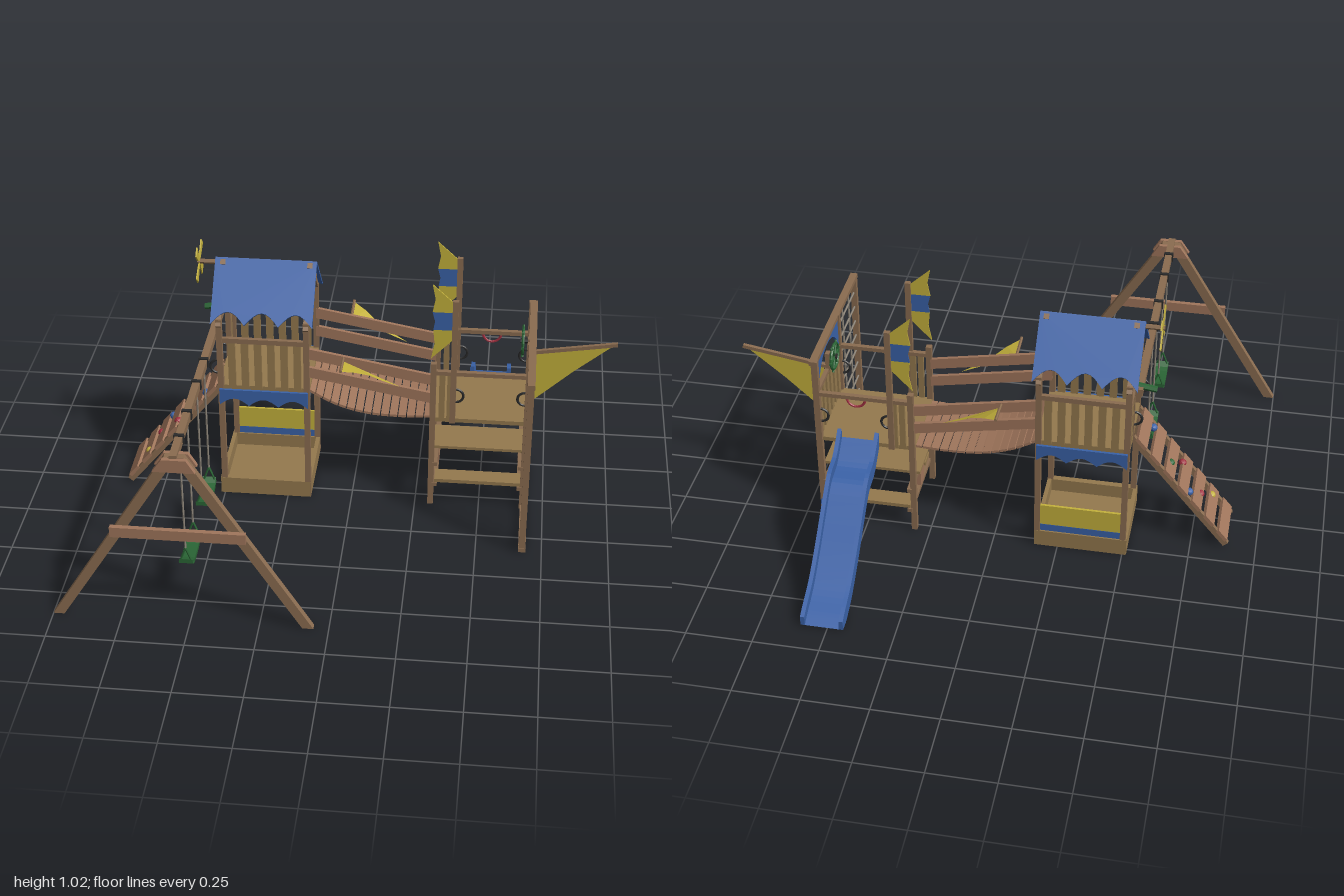
import * as THREE from 'three';

const C = { wood: 0x8a6c50, deck: 0x94794e, plank: 0xa0765c, blue: 0x3a62a8, yellow: 0xc4b13c,
  green: 0x2a6535, dark: 0x2a2a2a, red: 0xa03040, rope: 0x8c8478 };
const mats = {};
const mat = (c) => (mats[c] ??= new THREE.MeshStandardMaterial({ color: C[c], flatShading: true, side: THREE.DoubleSide }));
const V = (x, y, z) => new THREE.Vector3(x, y, z);

export function createModel() {
  const root = new THREE.Group();
  const add = (name, geo, c, x = 0, y = 0, z = 0) => {
    const m = new THREE.Mesh(geo, mat(c));
    m.name = name;
    m.position.set(x, y, z);
    root.add(m);
    return m;
  };
  // box given by its limits on each axis
  const box = (name, x0, x1, y0, y1, z0, z1, c = 'wood') =>
    add(name, new THREE.BoxGeometry(x1 - x0, y1 - y0, z1 - z0), c, (x0 + x1) / 2, (y0 + y1) / 2, (z0 + z1) / 2);
  const along = (m, a, b) => {
    m.position.copy(a).lerp(b, 0.5);
    m.quaternion.setFromUnitVectors(V(0, 1, 0), b.clone().sub(a).normalize());
    return m;
  };
  const beam = (name, a, b, w, d, c = 'wood') => along(add(name, new THREE.BoxGeometry(w, a.distanceTo(b), d), c), a, b);
  const rod = (name, a, b, r, c = 'rope') => along(add(name, new THREE.CylinderGeometry(r, r, a.distanceTo(b), 6), c), a, b);
  // flat panel cut from a shape, centred on its own thickness
  const panel = (name, shape, t, c, x = 0, y = 0, z = 0) =>
    add(name, new THREE.ExtrudeGeometry(shape, { depth: t, bevelEnabled: false, curveSegments: 12 }).translate(0, 0, -t / 2), c, x, y, z);
  const poly = (...p) => new THREE.Shape(p.map(([x, y]) => new THREE.Vector2(x, y)));
  // board hanging from y = 0 with arches cut in its lower edge
  const scallop = (w, h, n, depth) => {
    const p = [[-w / 2, 0]];
    for (let i = 0; i <= n * 8; i++) p.push([-w / 2 + w * i / (n * 8), -h + depth * Math.abs(Math.sin(i * Math.PI / 8))]);
    p.push([w / 2, 0]);
    return poly(...p);
  };
  const FZ = 0.05, BZ = -0.27, CZ = -0.11;

  // ---- roofed tower ----
  for (const z of [FZ, BZ]) {
    for (const x of [-0.5, -0.17]) box('towerPost', x - 0.011, x + 0.011, 0, 0.785, z - 0.011, z + 0.011);
    box('towerRail', -0.5, -0.17, 0.685, 0.705, z - 0.008, z + 0.008);
    for (let i = 0; i < 6; i++) {
      const x = -0.455 + i * 0.05;
      box('towerSlat', x - 0.014, x + 0.014, 0.49, 0.7, z - 0.006, z + 0.006, 'deck');
    }
    panel('towerValance', scallop(0.34, 0.068, 3, 0.03), 0.01, 'blue', -0.335, 0.485, z + (z > 0 ? 0.016 : -0.016));
    box('sandboxSide', -0.515, -0.16, 0, 0.07, z - 0.012, z + 0.012, 'deck');
  }
  for (const x of [-0.508, -0.167]) box('sandboxEnd', x - 0.008, x + 0.008, 0, 0.07, BZ, FZ, 'deck');
  box('sandboxFloor', -0.51, -0.165, 0.002, 0.015, BZ, FZ, 'deck');
  box('towerDeck', -0.51, -0.16, 0.475, 0.495, BZ, FZ, 'deck');
  box('sandboxBackPanel', -0.49, -0.18, 0.1, 0.19, BZ - 0.005, BZ + 0.005, 'yellow');
  box('sandboxBackStripe', -0.49, -0.18, 0.07, 0.1, BZ - 0.006, BZ + 0.006, 'blue');
  for (const z of [BZ, -0.17, 0.04]) box('entryPost', -0.512, -0.492, 0.48, 0.7, z - 0.01, z + 0.01);
  for (const z of [-0.235, -0.2]) box('entrySlat', -0.51, -0.5, 0.49, 0.7, z - 0.012, z + 0.012, 'deck');
  box('entryRail', -0.512, -0.492, 0.685, 0.705, BZ, -0.16);

  // roof, rafters and collars
  for (const s of [1, -1]) {
    const m = panel('roofSlope', scallop(0.385, 0.258, 3, 0.05), 0.008, 'blue', -0.3375, 0.957, CZ);
    m.rotation.x = -0.757 * s;
    for (const x of [-0.5, -0.17]) beam('rafter', V(x, 0.95, CZ - 0.015 * s), V(x, 0.757, CZ + 0.175 * s), 0.02, 0.02);
  }
  for (const x of [-0.5, -0.17]) box('roofCollar', x - 0.014, x + 0.014, 0.855, 0.876, -0.19, -0.03);

  // windmill
  rod('windmillAxle', V(-0.6, 0.94, CZ), V(-0.5, 0.94, CZ), 0.009, 'wood');
  const blade = poly([0, 0], [0.035, 0.018], [0.08, 0.026], [0.085, -0.012], [0.035, -0.008]);
  for (let i = 0; i < 4; i++) {
    const b = panel('windmillBlade', blade, 0.005, 'yellow', -0.592, 0.94, CZ);
    b.rotation.set(0, Math.PI / 2, 0.6 + i * Math.PI / 2);
    b.rotation.order = 'YXZ';
  }

  // sloping climbing ladder with holds
  const lo = V(-0.885, 0.015, 0), hi = V(-0.505, 0.475, 0);
  for (const z of [-0.16, 0.025]) beam('ladderRail', lo.clone().setZ(z), hi.clone().setZ(z), 0.025, 0.018);
  for (let i = 0; i < 7; i++) {
    const p = lo.clone().lerp(hi, (i + 0.5) / 7).add(V(-0.01, 0.008, 0));
    const m = add('ladderPlank', new THREE.BoxGeometry(0.014, 0.055, 0.205), 'plank', p.x, p.y, -0.068);
    m.rotation.z = -Math.atan2(0.38, 0.46);
  }
  for (const [x, z, c] of [[-0.73, -0.13, 'blue'], [-0.77, -0.075, 'red'], [-0.81, -0.015, 'yellow'],
    [-0.65, -0.09, 'green'], [-0.69, -0.02, 'red'], [-0.57, -0.01, 'blue']])
    add('climbingHold', new THREE.IcosahedronGeometry(0.016, 1), c, x, 0.015 + (x + 0.885) * 1.21 + 0.02, z);
  rod('telescope', V(-0.59, 0.71, -0.17), V(-0.49, 0.725, -0.17), 0.012, 'green');

  // grab handles
  const handle = (name, c, x, y, z, rx, ry, rz, r = 0.028) => {
    const m = add(name, new THREE.TorusGeometry(r, 0.005, 6, 12, Math.PI), c, x, y, z);
    m.rotation.set(rx, ry, rz);
  };
  for (const z of [-0.17, 0.04]) handle('entryHandle', 'dark', -0.512, 0.57, z, 0, 0, Math.PI / 2);

  // ---- swing frame ----
  box('swingBeam', -0.54, -0.513, 0.693, 0.722, -0.2, 0.875);
  panel('swingLegRight', poly([-1, 0], [-0.96, 0], [-0.515, 0.71], [-0.56, 0.71]), 0.026, 'wood', 0, 0, 0.855);
  panel('swingLegLeft', poly([-0.095, 0], [-0.055, 0], [-0.49, 0.71], [-0.535, 0.71]), 0.026, 'wood', 0, 0, 0.854);
  box('swingCrossbar', -0.765, -0.285, 0.372, 0.413, 0.869, 0.887, 'plank');
  for (const z of [0.834, 0.878]) panel('swingTopPlate', poly([-0.6, 0.66], [-0.45, 0.66], [-0.48, 0.71], [-0.565, 0.71]), 0.017, 'plank', 0, 0, z);

  // swings
  for (const zc of [0.672, 0.318]) {
    const top = [], under = [];
    for (let i = 0; i <= 8; i++) {
      const u = i / 4 - 1, y = 0.158 + 0.022 * u ** 4;
      top.push([u * 0.084, y + 0.012]);
      under.unshift([u * 0.084, y - 0.005]);
    }
    panel('swingSeat', poly(...top, ...under), 0.05, 'green', -0.527, 0, zc).rotation.y = -Math.PI / 2;
    for (const s of [1, -1]) {
      const z = zc + s * 0.078;
      box('swingClamp', -0.545, -0.509, 0.69, 0.727, z - 0.007, z + 0.007, 'dark');
      add('swingRing', new THREE.TorusGeometry(0.015, 0.004, 6, 12), 'dark', -0.527, 0.675, z).rotation.y = Math.PI / 2;
      rod('swingRope', V(-0.527, 0.66, z), V(-0.527, 0.24, z), 0.004);
      for (const d of [-0.024, 0.024]) rod('seatRope', V(-0.527, 0.24, z), V(-0.527 + d, 0.175, z), 0.004, 'green');
    }
  }

  // ---- hanging bridge ----
  const sag = new THREE.CatmullRomCurve3([V(-0.17, 0.483, CZ), V(-0.06, 0.425, CZ), V(0.05, 0.394, CZ), V(0.17, 0.385, CZ), V(0.31, 0.39, CZ)]);
  for (let i = 0; i < 15; i++) {
    const u = (i + 0.5) / 15, p = sag.getPointAt(u), t = sag.getTangentAt(u);
    const m = add('bridgePlank', new THREE.BoxGeometry(0.029, 0.01, 0.29), 'plank', p.x, p.y, CZ);
    m.rotation.z = Math.atan2(t.y, t.x);
  }
  for (const z of [-0.21, -0.01]) add('bridgeStrap', new THREE.TubeGeometry(sag, 24, 0.004, 5), 'dark', 0, -0.006, z - CZ);
  for (const s of [1, -1]) {
    const z = CZ + s * 0.155;
    for (const y of [0.652, 0.572]) panel('bridgeSideBoard', poly([-0.17, y - 0.022], [0.305, y - 0.11], [0.305, y - 0.066], [-0.17, y + 0.022]), 0.014, 'plank', 0, 0, z);
    // slanting sail held out by a short stick
    const p = [[-0.03, 0.645, 0.265], [0.02, 0.625, 0.235], [0.07, 0.595, 0.2], [0.12, 0.565, 0.185], [0.19, 0.53, 0.167], [-0.03, 0.63, 0.165]];
    const g = new THREE.BufferGeometry();
    g.setAttribute('position', new THREE.Float32BufferAttribute(p.flatMap(([x, y, d]) => [x, y, CZ + s * d]), 3));
    g.setIndex([5, 0, 1, 5, 1, 2, 5, 2, 3, 5, 3, 4]);
    g.computeVertexNormals();
    add('bridgeSail', g, 'yellow');
    rod('bridgeSailStick', V(-0.03, 0.64, CZ + s * 0.15), V(-0.03, 0.648, CZ + s * 0.27), 0.006, 'wood');
  }

  // ---- ship tower ----
  for (const z of [FZ, BZ]) {
    const out = z > 0 ? 0.008 : -0.008;
    box('shipPost', 0.3, 0.322, 0, 0.64, z - 0.011, z + 0.011);
    box('shipTallPost', 0.658, 0.682, 0, 0.745, z - 0.011, z + 0.011);
    box('shipRail', 0.31, 0.68, 0.592, 0.608, z - 0.009, z + 0.009);
    for (const x of [0.345, 0.375]) box('shipSlat', x - 0.011, x + 0.011, 0.39, 0.6, z - 0.006, z + 0.006, 'deck');
    // flag on its pole
    box('flagPole', 0.376, 0.398, 0.385, 0.915, z + out - 0.009, z + out + 0.009);
    const parts = [
      ['yellow', [[0.376, 0.91], [0.3, 0.98], [0.312, 0.92], [0.302, 0.865], [0.376, 0.865]]],
      ['blue', [[0.376, 0.865], [0.302, 0.865], [0.312, 0.825], [0.306, 0.79], [0.376, 0.79]]],
      ['yellow', [[0.376, 0.79], [0.306, 0.79], [0.312, 0.73], [0.3, 0.665], [0.376, 0.745]]]];
    for (const [c, pts] of parts) panel('flag', poly(...pts), 0.005, c, 0, 0, z + out);
    handle('shipHandle', 'dark', 0.398, 0.5, z, 0, 0, -Math.PI / 2);
    handle('shipHandle', 'dark', 0.658, 0.5, z, 0, 0, Math.PI / 2);
  }
  handle('hangingHandle', 'red', 0.52, 0.592, BZ, 0, 0, Math.PI, 0.035);
  box('shipDeck', 0.3, 0.685, 0.38, 0.397, BZ, FZ, 'deck');
  box('bowRail', 0.662, 0.678, 0.592, 0.608, BZ, FZ);
  for (let i = 0; i < 6; i++) {
    const z = -0.235 + i * 0.05;
    box('bowSlat', 0.664, 0.676, 0.39, 0.6, z - 0.013, z + 0.013, 'deck');
  }

  // arched blue board and low wave board on the bow
  const arch = poly([-0.17, 0.6], [-0.17, 0.73], [0.17, 0.73], [0.17, 0.6], [0.135, 0.6]);
  arch.absellipse(0, 0.6, 0.135, 0.115, 0, Math.PI, false, 0);
  panel('bowArch', arch, 0.01, 'blue', 0.67, 0, CZ).rotation.y = Math.PI / 2;
  const wave = panel('bowWaveBoard', scallop(0.345, 0.085, 4, 0.025), 0.01, 'blue', 0.676, 0.015, CZ);
  wave.rotation.set(0, Math.PI / 2, Math.PI, 'YXZ');

  // steering wheel
  add('steeringWheel', new THREE.TorusGeometry(0.05, 0.006, 6, 20), 'green', 0.64, 0.662, CZ).rotation.y = Math.PI / 2;
  for (let i = 0; i < 3; i++) {
    const a = i * Math.PI / 3, y = 0.062 * Math.sin(a), z = 0.062 * Math.cos(a);
    rod('wheelSpoke', V(0.64, 0.662 + y, CZ + z), V(0.64, 0.662 - y, CZ - z), 0.005, 'green');
  }
  rod('wheelAxle', V(0.63, 0.662, CZ), V(0.675, 0.662, CZ), 0.01, 'dark');
  box('wheelPost', 0.658, 0.675, 0.6, 0.675, CZ - 0.012, CZ + 0.012);

  // bowsprit and sail
  beam('bowsprit', V(0.67, 0.612, CZ), V(0.998, 0.665, CZ), 0.014, 0.014);
  panel('bowSail', poly([0.685, 0.395], [0.685, 0.61], [0.98, 0.658], [0.84, 0.54]), 0.006, 'yellow', 0, 0, CZ);

  // climbing net
  box('netTopBeam', 0.662, 0.69, 0.728, 0.745, -0.28, 0.345);
  box('netBottomBeam', 0.662, 0.69, 0.003, 0.019, -0.28, 0.345);
  box('netPost', 0.664, 0.688, 0.003, 0.745, 0.322, 0.343);
  for (const z of [0.24, 0.148]) rod('netRope', V(0.676, 0.015, z), V(0.676, 0.735, z), 0.004);
  for (let i = 1; i <= 10; i++) rod('netRope', V(0.676, 0.734 - i * 0.067, FZ), V(0.676, 0.734 - i * 0.067, 0.33), 0.004);

  // table and benches under the deck
  for (const x of [0.325, 0.655]) {
    box('tableBearer', x - 0.01, x + 0.01, 0.183, 0.199, -0.285, 0.065);
    box('benchBearer', x - 0.01, x + 0.01, 0.088, 0.104, -0.285, 0.065);
    box('tableLeg', x - 0.01, x + 0.01, 0.1, 0.19, -0.135, -0.08, 'plank');
  }
  box('tableTop', 0.305, 0.685, 0.199, 0.211, -0.185, -0.035, 'deck');
  for (const z of [0.025, -0.245]) box('bench', 0.325, 0.665, 0.104, 0.119, z - 0.035, z + 0.035, 'deck');

  // ---- slide: side walls and a lower bed following one wavy run ----
  const run = new THREE.SplineCurve([[0.265, 0.418], [0.35, 0.354], [0.44, 0.334], [0.53, 0.262], [0.64, 0.165],
    [0.75, 0.083], [0.84, 0.043], [0.885, 0.02]].map(([x, y]) => new THREE.Vector2(x, y))).getPoints(32);
  const strip = (up, down) => poly(...run.map((p) => [p.x, p.y + up]), ...run.map((p) => [p.x, Math.max(p.y - down, 0.004)]).reverse());
  for (const x of [0.448, 0.592]) panel('slideWall', strip(0.022, 0.04), 0.016, 'blue', x).rotation.y = Math.PI / 2;
  panel('slideBed', strip(-0.016, 0.036), 0.14, 'blue', 0.52).rotation.y = Math.PI / 2;

  return root;
}
